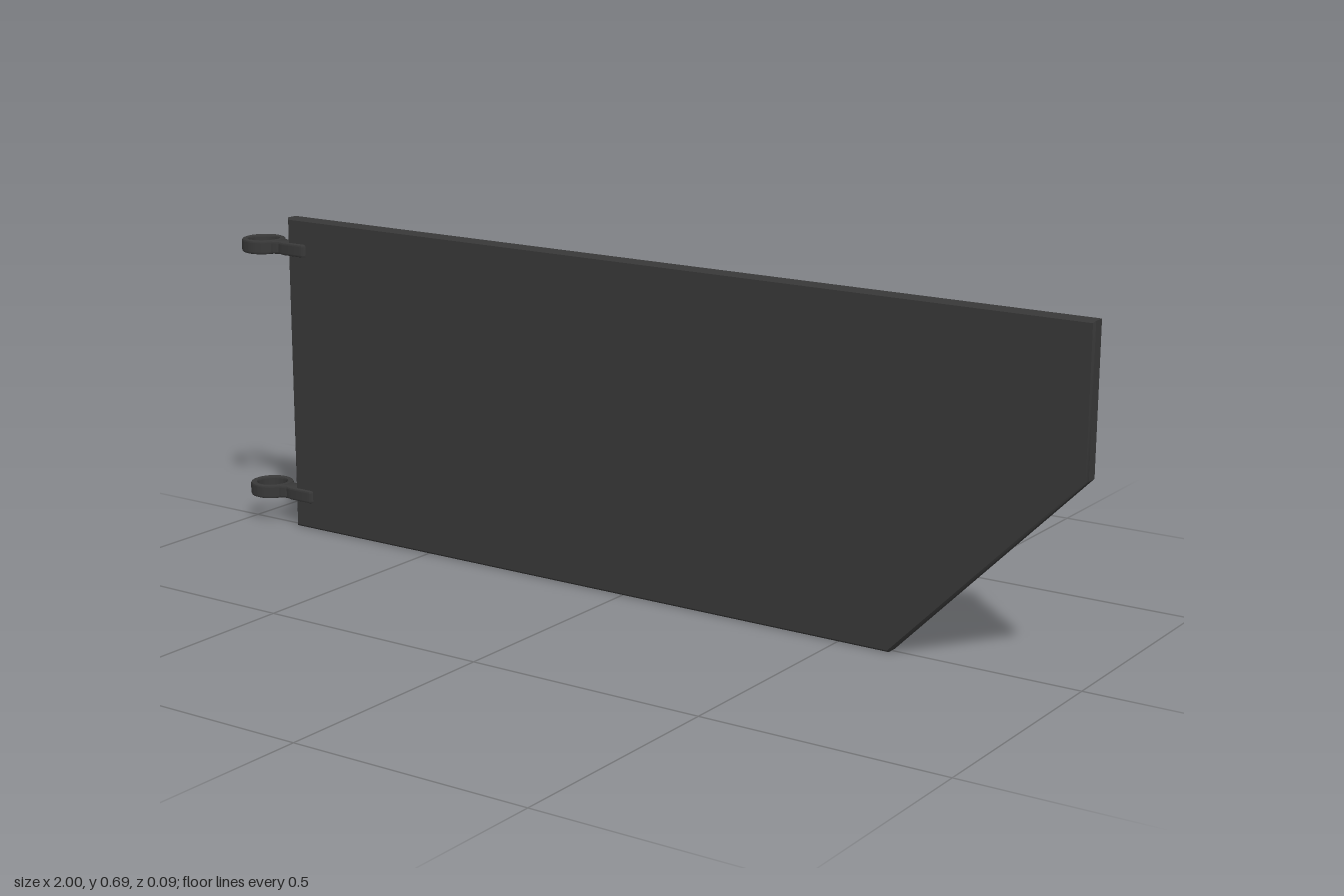
import * as THREE from 'three';
import { toCreasedNormals } from 'three/addons/utils/BufferGeometryUtils.js';

const material = new THREE.MeshStandardMaterial({ color: 0x383838 });

const points = (list) => list.map(([x, y]) => new THREE.Vector2(x, y));

// Extrusion from z0 to z1 with chamfered edges that stay inside the outline
function chamfered(shape, z0, z1, chamfer, segments = 1) {
  const geometry = new THREE.ExtrudeGeometry(shape, {
    depth: z1 - z0 - 2 * chamfer,
    bevelThickness: chamfer,
    bevelSize: chamfer,
    bevelOffset: -chamfer,
    bevelSegments: segments,
    curveSegments: 20,
  });
  geometry.translate(0, 0, z0 + chamfer);
  return toCreasedNormals(geometry, 0.6);
}

function addMesh(parent, name, geometry) {
  const mesh = new THREE.Mesh(geometry, material);
  mesh.name = name;
  parent.add(mesh);
  return mesh;
}

// Eyelet lying flat: a ring with a shank that grips the board edge
function createEyelet(name, y) {
  const eyelet = new THREE.Group();
  eyelet.name = name;
  const ringX = -0.953;

  const ringShape = new THREE.Shape().absarc(ringX, 0, 0.047, 0, Math.PI * 2);
  ringShape.holes.push(new THREE.Path().absarc(ringX, 0, 0.033, 0, Math.PI * 2, true));
  addMesh(eyelet, 'ring', chamfered(ringShape, -0.015, 0.015, 0.005, 2));

  const shankShape = new THREE.Shape(points([
    [-0.916, -0.024], [-0.895, -0.018], [-0.88, -0.023], [-0.826, -0.023], [-0.819, -0.017],
    [-0.819, 0.017], [-0.826, 0.023], [-0.88, 0.023], [-0.895, 0.018], [-0.916, 0.024],
  ]));
  addMesh(eyelet, 'shank', chamfered(shankShape, -0.014, 0.014, 0.005, 2));

  eyelet.rotation.x = -Math.PI / 2;
  eyelet.position.y = y;
  return eyelet;
}

export function createModel() {
  const model = new THREE.Group();
  model.name = 'hangingBoard';

  const outline = points([[-0.87, 0], [0.61, 0], [1, 0.395], [1, 0.685], [-0.87, 0.685]]);
  const opening = points([
    [-0.845, 0.025], [0.6, 0.025], [0.975, 0.405], [0.975, 0.66], [-0.845, 0.66],
  ]);

  // Solid front plate
  addMesh(model, 'frontPlate', chamfered(new THREE.Shape(outline), 0.004, 0.016, 0.004));

  // Raised rim around the recessed back
  const rimShape = new THREE.Shape(outline);
  rimShape.holes.push(new THREE.Path([...opening].reverse()));
  addMesh(model, 'backRim', chamfered(rimShape, -0.016, 0.014, 0.004));

  // Mounting eyelets
  model.add(createEyelet('upperEyelet', 0.617), createEyelet('lowerEyelet', 0.072));

  return model;
}
